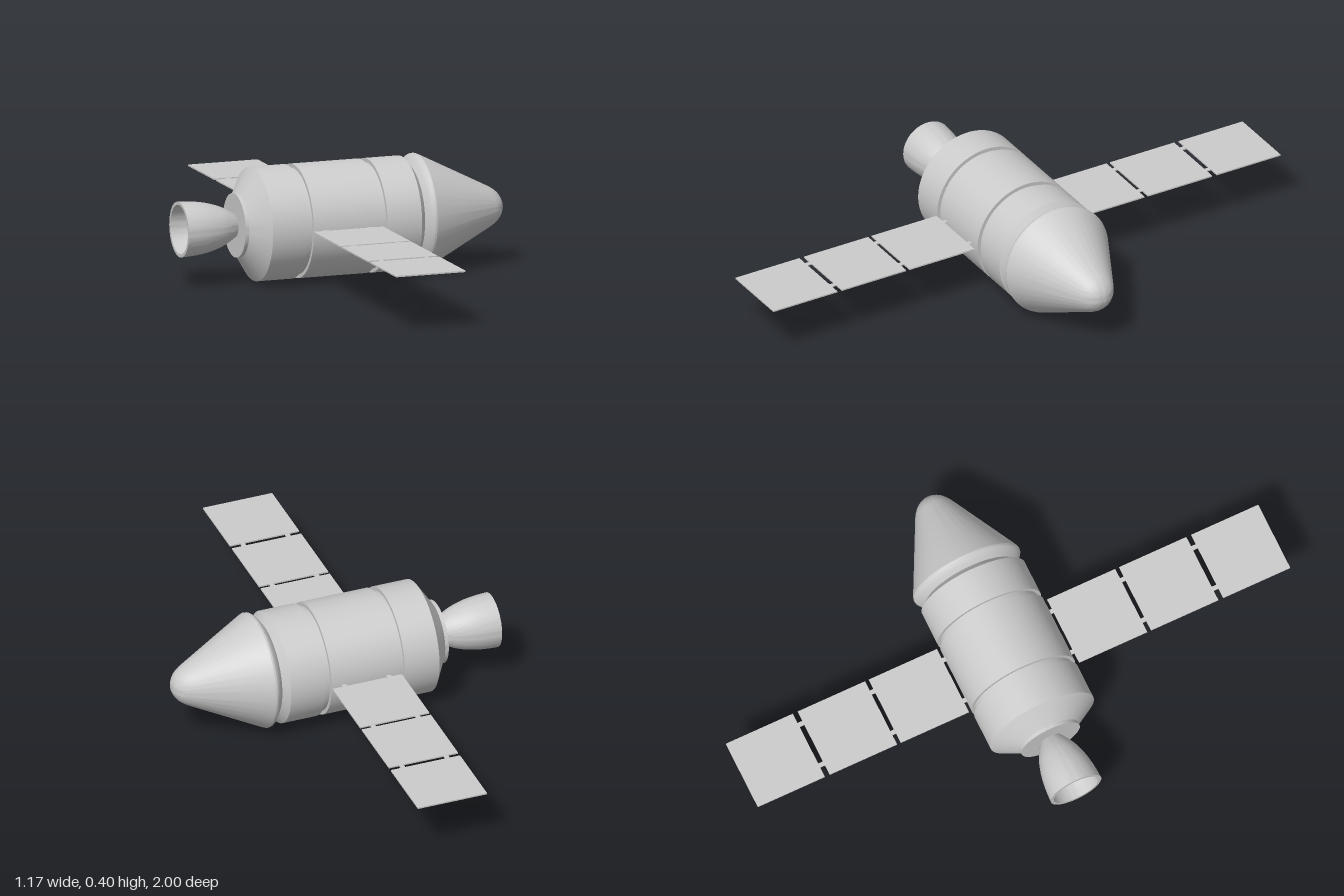
import * as THREE from 'three';
import { toCreasedNormals } from 'three/addons/utils/BufferGeometryUtils.js';

const AXIS_Y = 0.2;
const material = new THREE.MeshStandardMaterial({ color: 0xcccccc });

function addMesh(parent, name, geometry) {
  const mesh = new THREE.Mesh(geometry, material);
  mesh.name = name;
  parent.add(mesh);
  return mesh;
}

// Turned part along the x axis from [x, radius] pairs
function turned(parent, name, profile) {
  const points = profile.map(([x, r]) => new THREE.Vector2(r, x));
  const geometry = toCreasedNormals(new THREE.LatheGeometry(points, 72), 0.4);
  geometry.rotateZ(-Math.PI / 2);
  return addMesh(parent, name, geometry);
}

function box(parent, name, x0, x1, z0, z1, thickness) {
  const geometry = new THREE.BoxGeometry(x1 - x0, thickness, Math.abs(z1 - z0));
  addMesh(parent, name, geometry).position.set((x0 + x1) / 2, 0, (z0 + z1) / 2);
}

export function createModel() {
  const craft = new THREE.Group();
  craft.name = 'spacecraft';
  craft.position.y = AXIS_Y;

  // Service module: rear flange, sloped shoulder, two grooves, tapered front
  turned(craft, 'serviceModule', [
    [-0.385, 0], [-0.385, 0.11], [-0.372, 0.11], [-0.318, 0.195],
    [-0.192, 0.195], [-0.192, 0.182], [-0.17, 0.182], [-0.17, 0.195],
    [0.075, 0.195], [0.075, 0.182], [0.097, 0.182], [0.097, 0.195],
    [0.222, 0.195], [0.243, 0.167], [0.243, 0],
  ]);

  // Crew capsule: rounded heat shield rim, cone, blunt nose
  turned(craft, 'crewCapsule', [
    [0.243, 0], [0.243, 0.167], [0.254, 0.184], [0.262, 0.194], [0.269, 0.199],
    [0.276, 0.2], [0.284, 0.197], [0.535, 0.069], [0.549, 0.06], [0.562, 0.049],
    [0.572, 0.036], [0.579, 0.022], [0.582, 0.011], [0.583, 0],
  ]);

  // Engine bell: inner wall out to the rim, then the outer wall back to the throat
  const outer = new THREE.SplineCurve([
    [-0.585, 0.095], [-0.54, 0.0925], [-0.49, 0.085], [-0.44, 0.07], [-0.405, 0.052], [-0.38, 0.036],
  ].map(([x, r]) => new THREE.Vector2(x, r))).getPoints(20).map((p) => [p.x, p.y]);
  const inner = outer.map(([x, r]) => [x, r - 0.011]).reverse();
  turned(craft, 'engineBell', [[inner[0][0], 0], ...inner, ...outer]);

  // Solar wings: three thin panels a side, joined by pairs of hinge bars
  const panels = [[0.207, 0.463], [0.477, 0.73], [0.748, 1]];
  for (const side of [1, -1]) {
    const wing = new THREE.Group();
    wing.name = side > 0 ? 'frontSolarWing' : 'backSolarWing';
    craft.add(wing);
    let previousEnd = 0.18;
    for (const [start, end] of panels) {
      box(wing, 'solarPanel', -0.176, 0.076, side * start, side * end, 0.005);
      for (const x of [-0.131, 0.031]) {
        box(wing, 'hingeBar', x - 0.008, x + 0.008, side * (previousEnd - 0.005), side * (start + 0.005), 0.004);
      }
      previousEnd = end;
    }
  }

  const model = new THREE.Group();
  model.add(craft);
  return model;
}
